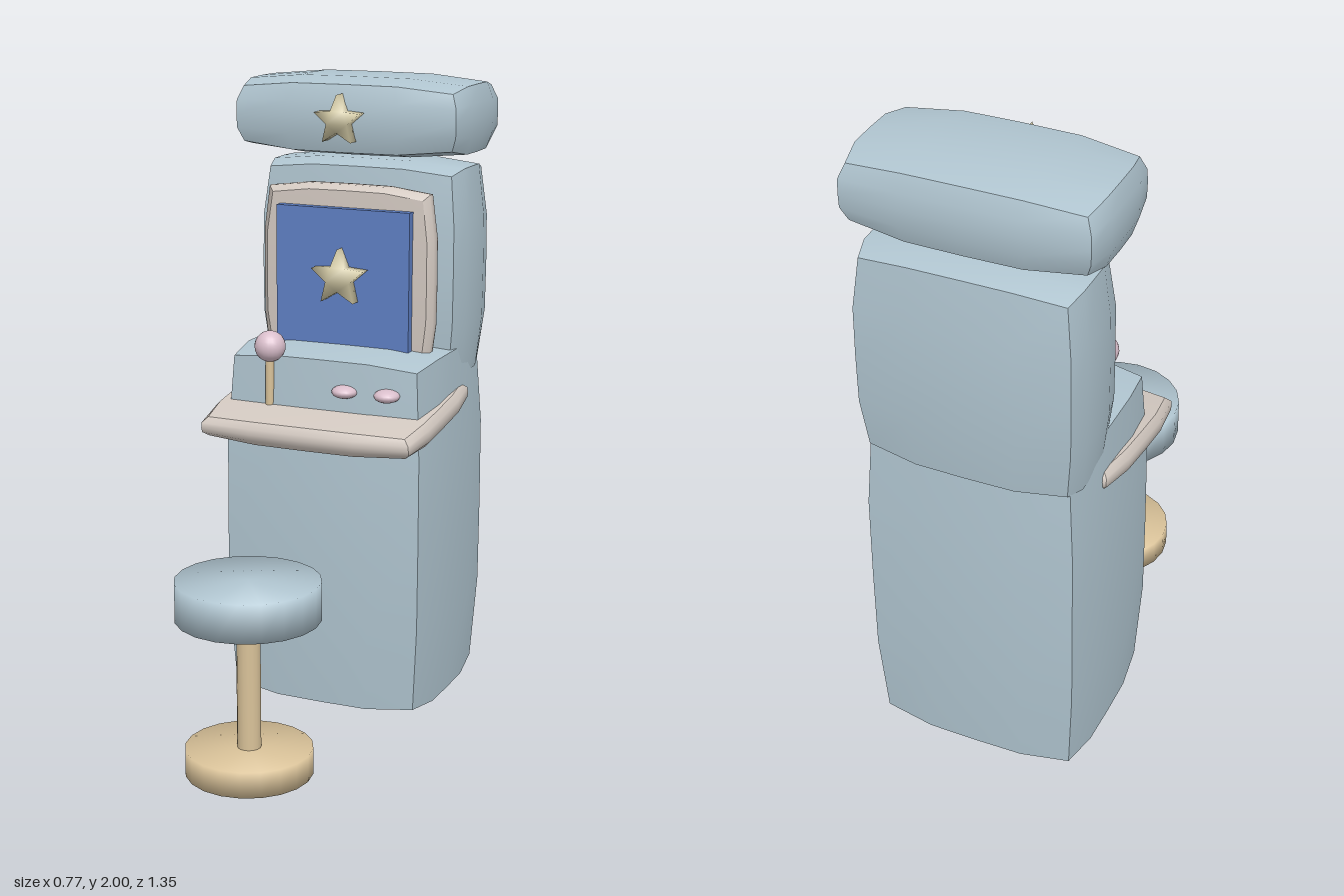
import * as THREE from 'three';
import { mergeVertices } from 'three/addons/utils/BufferGeometryUtils.js';

const material = (name, color) => {
  const m = new THREE.MeshStandardMaterial({ color });
  m.name = name;
  return m;
};

// Weld a geometry so that its shading runs smoothly over every edge
function welded(geometry) {
  geometry.deleteAttribute('uv');
  geometry.deleteAttribute('normal');
  const g = mergeVertices(geometry, 1e-4);
  g.computeVertexNormals();
  return g;
}

// Box with gently swollen faces and crisp edges
function swollenBox(width, height, depth) {
  const g = new THREE.BoxGeometry(width, height, depth, 4, 4, 4);
  const half = [width / 2, height / 2, depth / 2];
  const drop = half.map((h) => Math.min(0.018, h * 0.15));
  const p = g.attributes.position;
  for (let i = 0; i < p.count; i++) {
    const t = half.map((h, k) => p.getComponent(i, k) / h);
    const s = t.map((v) => v ** 4);
    const sum = s[0] + s[1] + s[2];
    t.forEach((v, k) => p.setComponent(i, k, v * (half[k] - drop[k] * (sum - s[k]))));
  }
  g.computeVertexNormals();
  return g;
}

// Five-pointed star of a given thickness, centred on its own origin
function star(radius, depth) {
  const points = [];
  for (let i = 0; i < 10; i++) {
    const r = i % 2 ? radius * 0.45 : radius;
    const a = Math.PI / 2 + (i * Math.PI) / 5;
    points.push(new THREE.Vector2(r * Math.cos(a), r * Math.sin(a)));
  }
  const g = new THREE.ExtrudeGeometry(new THREE.Shape(points), { depth, bevelEnabled: false });
  g.translate(0, 0, -depth / 2);
  return welded(g);
}

export function createModel() {
  const cabinetBlue = material('pale blue cabinet', 0xb1c6d1);
  const cream = material('warm cream trim', 0xd3c9c1);
  const screenBlue = material('screen blue', 0x5f80c4);
  const starCream = material('pale gold', 0xd3caa6);
  const wood = material('tan stand', 0xd9c299);
  const pink = material('soft pink', 0xdabfcc);

  const group = new THREE.Group();
  const add = (parent, name, geometry, mat, x, y, z) => {
    const mesh = new THREE.Mesh(geometry, mat);
    mesh.name = name;
    mesh.position.set(x, y, z);
    parent.add(mesh);
    return mesh;
  };
  const section = (name) => {
    const g = new THREE.Group();
    g.name = name;
    group.add(g);
    return g;
  };

  // Cabinet body and overhead sign
  const cabinet = section('cabinet');
  add(cabinet, 'lowerCabinet', swollenBox(0.69, 1.17, 0.605), cabinetBlue, 0, 0.585, -0.358);
  add(cabinet, 'upperCabinet', swollenBox(0.69, 0.695, 0.345), cabinetBlue, 0, 1.388, -0.503);
  add(cabinet, 'marquee', swollenBox(0.77, 0.245, 0.42), cabinetBlue, 0, 1.877, -0.432);
  add(cabinet, 'marqueeStar', star(0.08, 0.06), starCream, 0, 1.875, -0.21);

  // Screen
  const display = section('display');
  add(display, 'screenFrame', swollenBox(0.58, 0.58, 0.08), cream, 0, 1.38, -0.294);
  add(display, 'screen', new THREE.BoxGeometry(0.45, 0.44, 0.03), screenBlue, 0, 1.38, -0.245);
  add(display, 'screenStar', star(0.093, 0.05), starCream, 0, 1.385, -0.214);

  // Sloping control panel with joystick and buttons
  const controls = section('controls');
  add(controls, 'controlPanel', swollenBox(0.73, 0.09, 0.56), cream, 0, 0.967, -0.19).rotation.x = 0.13;
  add(controls, 'joystickShaft', new THREE.CylinderGeometry(0.014, 0.014, 0.18, 12), wood, -0.175, 1.08, -0.07);
  add(controls, 'joystickBall', new THREE.SphereGeometry(0.049, 20, 14), pink, -0.175, 1.18, -0.072);
  for (const x of [0.08, 0.22]) {
    add(controls, 'button', new THREE.SphereGeometry(0.041, 18, 12), pink, x, 1.06, -0.069).scale.y = 0.5;
  }

  // Stool
  const stool = section('stool');
  const disc = (radius, height) => welded(new THREE.CylinderGeometry(radius, radius, height, 20));
  add(stool, 'stoolSeat', disc(0.218, 0.118), cabinetBlue, 0, 0.546, 0.458);
  add(stool, 'stoolPost', new THREE.CylinderGeometry(0.036, 0.036, 0.46, 16), wood, 0, 0.29, 0.458);
  add(stool, 'stoolBase', disc(0.193, 0.08), wood, 0, 0.04, 0.458);

  return group;
}
